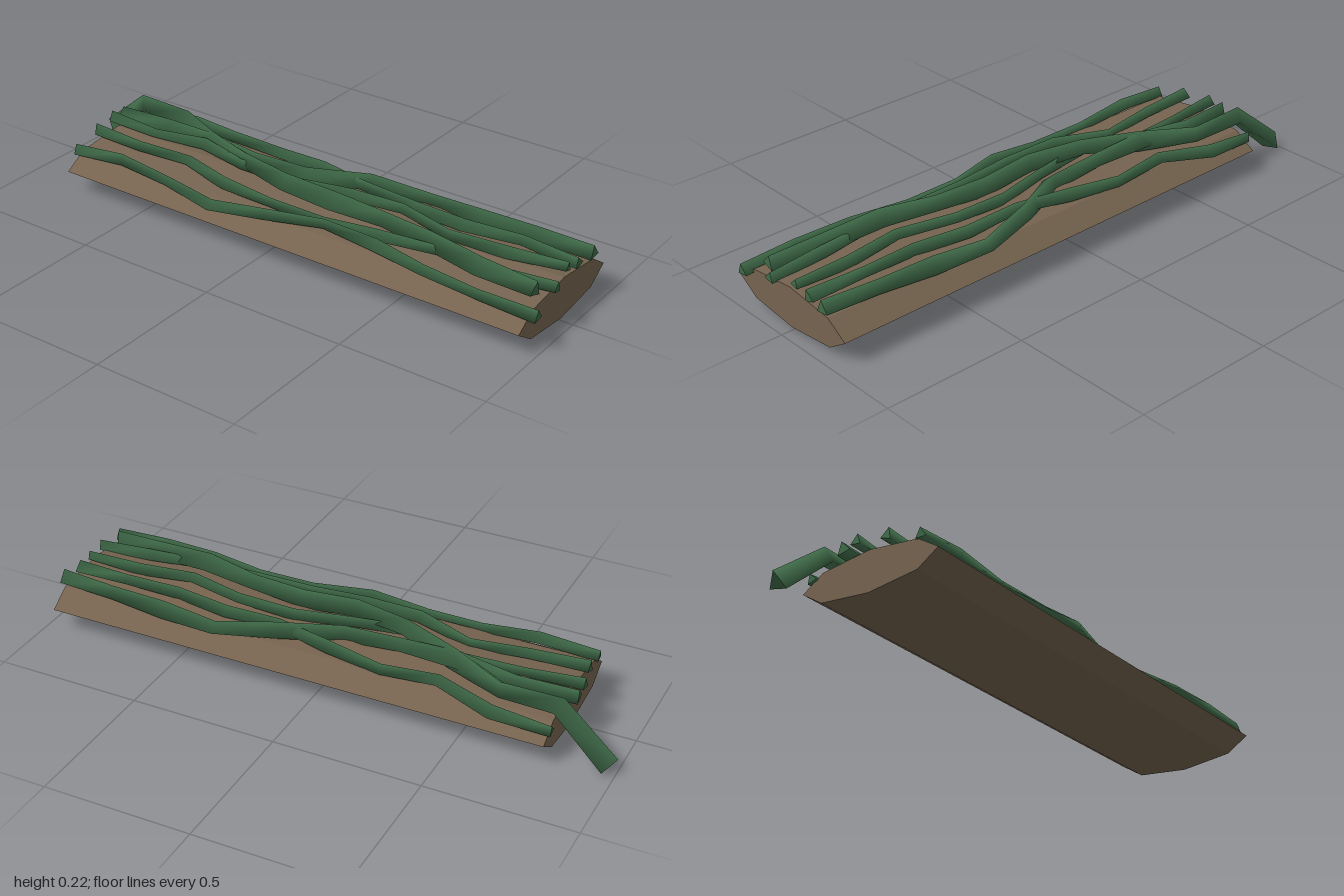
import * as THREE from 'three';

const BARK = new THREE.MeshStandardMaterial({ color: 0x75634f, flatShading: true });
const LEAF = new THREE.MeshStandardMaterial({ color: 0x3f6a48, side: THREE.DoubleSide });

// Eight-sided plank, pointed at both rims
function makePlank() {
  const shape = new THREE.Shape();
  shape.moveTo(0.26, 0.09).lineTo(0.184, 0.14).lineTo(0, 0.162).lineTo(-0.184, 0.14);
  shape.lineTo(-0.26, 0.09).lineTo(-0.184, 0.04).lineTo(0, 0.02).lineTo(0.184, 0.04);
  const geo = new THREE.ExtrudeGeometry(shape, { depth: 1.75, bevelEnabled: false });
  const mesh = new THREE.Mesh(geo.translate(0, 0, -0.79), BARK);
  mesh.name = 'plank';
  return mesh;
}

// Height of the plank's upper face at x
function topAt(x) {
  const a = Math.abs(x);
  return a < 0.184 ? 0.162 - a * 0.12 : 0.14 - (a - 0.184) * 0.66;
}

// Centre points of a stem: sideways positions at even steps from back to front,
// resting on the plank with a gentle rise and fall
function stemPath(xs, zBack, zFront, rest, phase) {
  return xs.map((x, i) => {
    const z = THREE.MathUtils.lerp(zBack, zFront, i / (xs.length - 1));
    return new THREE.Vector3(x, topAt(x) + rest + 0.008 * Math.sin(i * 1.9 + phase), z);
  });
}

// Three-sided, slightly twisting stem through a list of centre points
function makeStem(name, points, radius, phase) {
  const pos = [], index = [], n = points.length;
  const up = new THREE.Vector3(0, 1, 0);
  points.forEach((p, i) => {
    const t = points[Math.min(i + 1, n - 1)].clone().sub(points[Math.max(i - 1, 0)]).normalize();
    const side = new THREE.Vector3().crossVectors(up, t).normalize();
    const lift = new THREE.Vector3().crossVectors(t, side);
    const r = radius * (1 + 0.15 * Math.sin(i * 2.3 + phase));
    for (let k = 0; k < 3; k++) {
      const a = Math.PI / 2 + (k * 2 * Math.PI) / 3 + 0.35 * Math.sin(i * 1.7 + phase);
      const v = p.clone().addScaledVector(side, Math.cos(a) * r).addScaledVector(lift, Math.sin(a) * r);
      pos.push(v.x, v.y, v.z);
    }
  });
  for (let i = 0; i < n - 1; i++) {
    for (let k = 0; k < 3; k++) {
      const a = i * 3 + k, b = i * 3 + ((k + 1) % 3);
      index.push(a, b, a + 3, b, b + 3, a + 3);
    }
  }
  // End caps on their own vertices so the cuts stay sharp
  const c = 3 * n;
  pos.push(...pos.slice(0, 9), ...pos.slice(-9));
  index.push(c, c + 2, c + 1, c + 3, c + 4, c + 5);
  const geo = new THREE.BufferGeometry();
  geo.setAttribute('position', new THREE.Float32BufferAttribute(pos, 3));
  geo.setIndex(index);
  geo.computeVertexNormals();
  const mesh = new THREE.Mesh(geo, LEAF);
  mesh.name = name;
  return mesh;
}

export function createModel() {
  const model = new THREE.Group();
  const stems = new THREE.Group();
  stems.name = 'stems';
  model.add(makePlank(), stems);

  // Thin stems lying side by side
  const addStem = (name, radius, zBack, zFront, xs) => {
    const phase = stems.children.length * 1.3;
    stems.add(makeStem(name, stemPath(xs, zBack, zFront, radius * 0.45 + 0.008, phase), radius, phase));
  };
  addStem('outerRightStem', 0.021, -0.8, 0.99, [-0.2, -0.185, -0.195, -0.222, -0.2, -0.147, -0.16, -0.2, -0.207, -0.203]);
  addStem('innerRightStem', 0.021, -0.81, 0.98, [-0.08, -0.085, -0.07, -0.13, -0.14, -0.14, -0.125, -0.1, -0.09, -0.075]);
  addStem('middleStem', 0.021, -0.83, 0.96, [0.02, 0.015, 0.045, -0.01, 0, 0.035, 0.047, 0, 0.012, 0.025]);
  addStem('crossingStem', 0.03, -0.83, 0.97, [0.07, 0.082, 0.075, 0.06, 0.06, 0.15, 0.205, 0.18, 0.17, 0.17]);
  addStem('outerLeftStem', 0.023, -0.8, 0.96, [0.22, 0.225, 0.175, 0.175, 0.15, 0.12, 0.11, 0.08, 0.1, 0.092]);

  // Thick stem lying over the others, its tail hanging past the back edge
  const thick = stemPath([0.165, 0.15, 0.06, 0, -0.05, -0.055, -0.055, -0.085, -0.122, -0.135], -0.8, 0.94, 0.034, 1);
  thick.unshift(new THREE.Vector3(0.19, 0.033, -0.975));
  stems.add(makeStem('thickStem', thick, 0.034, 1));
  return model;
}
